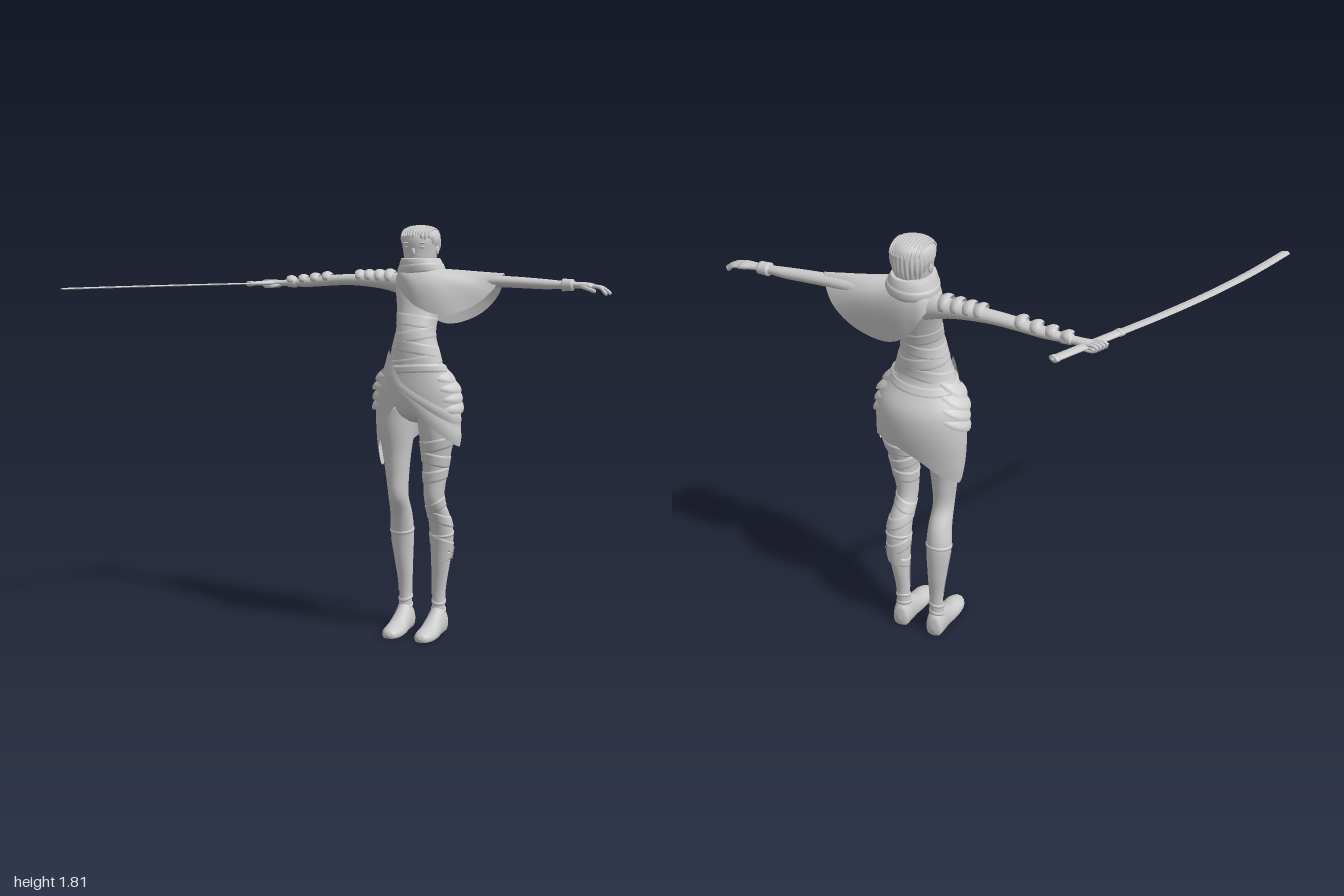
import * as THREE from 'three';

const PI = Math.PI, CX = 0.17;
const solid = new THREE.MeshStandardMaterial({ color: 0xcccccc });
const cloth = new THREE.MeshStandardMaterial({ color: 0xcccccc, side: THREE.DoubleSide });
const facet = new THREE.MeshStandardMaterial({ color: 0xcccccc, flatShading: true });

// Smooth interpolation of table rows [t, a, b, ...] at t
function sample(rows, t) {
  let i = 0;
  while (i < rows.length - 2 && t > rows[i + 1][0]) i++;
  const p = rows[i], q = rows[i + 1], o = rows[i - 1] || p, r = rows[i + 2] || q, h = q[0] - p[0];
  const s = THREE.MathUtils.clamp((t - p[0]) / h, 0, 1), s2 = s * s, s3 = s2 * s;
  return p.slice(1).map((a, k) => {
    const b = q[k + 1], m = (b - o[k + 1]) / (q[0] - o[0]), n = (r[k + 1] - a) / (r[0] - p[0]);
    return a * (2 * s3 - 3 * s2 + 1) + b * (3 * s2 - 2 * s3) + h * (m * (s3 - 2 * s2 + s) + n * (s3 - s2));
  });
}

// Point on a body whose rows are [t, minA, maxA, minB, maxB]; grow pushes it outward
function at(rows, axis, t, ang, grow = 0) {
  const [a0, a1, b0, b1] = sample(rows, t);
  const a = (a0 + a1) / 2 + ((a1 - a0) / 2 + grow) * Math.cos(ang);
  const b = (b0 + b1) / 2 + ((b1 - b0) / 2 + grow) * Math.sin(ang);
  return axis === 'y' ? [a, t, b] : axis === 'x' ? [t, b, a] : [b, Math.max(a, 0), t];
}

// Grid surface from f(u, v); closed joins u = 1 to u = 0
function sheet(f, nu, nv, closed = true) {
  const pos = [], idx = [], n = closed ? nu : nu + 1;
  for (let j = 0; j <= nv; j++) for (let i = 0; i < n; i++) pos.push(...f(i / nu, j / nv));
  for (let j = 0; j < nv; j++) for (let i = 0; i < nu; i++) {
    const a = j * n + i, b = j * n + (i + 1) % n;
    idx.push(a, a + n, b, b, a + n, b + n);
  }
  const g = new THREE.BufferGeometry();
  g.setAttribute('position', new THREE.Float32BufferAttribute(pos, 3));
  g.setIndex(idx);
  g.computeVertexNormals();
  return g;
}
const mirror = f => (u, v) => { const p = f(1 - u, v); return [2 * CX - p[0], p[1], p[2]]; };
// Whole body, both ends drawn in to a point at the middle
const body = (rows, axis) => (u, v) => {
  const t = THREE.MathUtils.lerp(rows[0][0], rows[rows.length - 1][0], v), a = u * 2 * PI;
  const p = at(rows, axis, t, a);
  if (v > 0 && v < 1) return p;
  const q = at(rows, axis, t, a + PI);
  return p.map((c, i) => (c + q[i]) / 2);
};
// Strap of height h around a body, tilted across x and z
const band = (rows, axis, t, h, tx = 0, tz = 0, grow = 0.006) => (u, v) => {
  const a = u * 2 * PI, edge = v === 0 || v === 1 ? -0.004 : grow;
  return at(rows, axis, t + (v - 0.5) * h + tx * Math.cos(a) + tz * Math.sin(a), a, edge);
};

const TORSO = [[0.95, 0.15, 0.19, -0.43, -0.37], [0.99, 0.05, 0.29, -0.49, -0.3], [1.05, 0, 0.345, -0.505, -0.275],
  [1.12, 0.01, 0.335, -0.495, -0.262], [1.2, 0.045, 0.305, -0.44, -0.262], [1.28, 0.07, 0.28, -0.435, -0.262],
  [1.36, 0.087, 0.26, -0.44, -0.272], [1.45, 0.077, 0.27, -0.465, -0.31], [1.52, 0.062, 0.285, -0.485, -0.335],
  [1.57, 0.055, 0.29, -0.49, -0.36], [1.61, 0.08, 0.265, -0.485, -0.37], [1.64, 0.125, 0.22, -0.465, -0.375],
  [1.7, 0.125, 0.22, -0.465, -0.375]];
const LEG = [[0.05, 0.055, 0.125, -0.5, -0.42], [0.12, 0.06, 0.12, -0.495, -0.435], [0.2, 0.058, 0.12, -0.495, -0.44],
  [0.32, 0.04, 0.122, -0.508, -0.425], [0.45, 0.022, 0.128, -0.508, -0.405], [0.54, 0.032, 0.128, -0.485, -0.375],
  [0.62, 0.042, 0.128, -0.44, -0.33], [0.72, 0.03, 0.132, -0.44, -0.322], [0.82, 0.014, 0.14, -0.455, -0.312],
  [0.93, -0.005, 0.155, -0.48, -0.292], [1.05, 0.005, 0.17, -0.485, -0.285]];
const FOOT = [[-0.513, 0.015, 0.05, 0.075, 0.105], [-0.503, -0.02, 0.09, 0.057, 0.123], [-0.46, -0.03, 0.125, 0.05, 0.13],
  [-0.41, -0.03, 0.096, 0.05, 0.133], [-0.35, -0.03, 0.06, 0.046, 0.138], [-0.29, -0.02, 0.045, 0.05, 0.136],
  [-0.256, -0.01, 0.032, 0.068, 0.12], [-0.246, 0.005, 0.02, 0.085, 0.105]];
const ARM = [[0.22, -0.485, -0.39, 1.49, 1.6], [0.28, -0.488, -0.4, 1.512, 1.605], [0.36, -0.485, -0.41, 1.533, 1.602],
  [0.5, -0.482, -0.417, 1.547, 1.598], [0.62, -0.48, -0.42, 1.545, 1.592], [0.72, -0.477, -0.425, 1.542, 1.585],
  [0.8, -0.47, -0.43, 1.545, 1.578], [0.86, -0.47, -0.428, 1.547, 1.575], [0.905, -0.482, -0.42, 1.545, 1.573],
  [0.93, -0.48, -0.422, 1.543, 1.567], [0.94, -0.452, -0.448, 1.553, 1.557]];
const SKIRT = [[0.74, 0.005, 0.34, -0.48, -0.305], [0.85, -0.015, 0.365, -0.5, -0.285], [1, -0.022, 0.366, -0.522, -0.266],
  [1.1, -0.01, 0.355, -0.512, -0.254], [1.2, 0.038, 0.313, -0.452, -0.254], [1.3, 0.068, 0.283, -0.443, -0.254],
  [1.4, 0.08, 0.265, -0.45, -0.28]];
const HEM = [[0, 0.88], [0.2, 0.96], [0.36, 1.05], [0.56, 1.05], [0.68, 0.98], [0.82, 0.86], [0.97, 0.76], [1.12, 0.77],
  [1.27, 0.81], [1.5, 0.91], [1.75, 0.94], [2, 0.88]];
const HEAD = [[1.6, 0.13, 0.21, -0.46, -0.36], [1.65, 0.107, 0.233, -0.485, -0.335], [1.7, 0.096, 0.244, -0.498, -0.33],
  [1.75, 0.092, 0.248, -0.5, -0.328], [1.785, 0.107, 0.233, -0.487, -0.345], [1.802, 0.14, 0.2, -0.45, -0.38],
  [1.807, 0.168, 0.172, -0.417, -0.413]];
const SCARF = [[1.57, 0.078, 0.27, -0.508, -0.335], [1.61, 0.07, 0.277, -0.518, -0.324], [1.65, 0.08, 0.264, -0.512, -0.32],
  [1.675, 0.09, 0.252, -0.5, -0.325]];

export function createModel() {
  const model = new THREE.Group();
  const add = (name, geo, mat = solid) => {
    const m = new THREE.Mesh(geo, mat);
    m.name = name;
    model.add(m);
    return m;
  };
  const ball = (name, x, y, z, sx, sy, sz) => {
    const m = add(name, new THREE.SphereGeometry(1, 16, 12));
    m.position.set(x, y, z);
    m.scale.set(sx, sy, sz);
  };
  const finger = (name, pts, r) => {
    const c = new THREE.CatmullRomCurve3(pts.map(p => new THREE.Vector3(...p)));
    add(name, new THREE.TubeGeometry(c, 10, r, 8));
    for (const p of [pts[0], pts[pts.length - 1]]) ball(name + 'End', ...p, r, r, r);
  };

  // Torso with wrapped cloth bands
  add('torso', sheet(body(TORSO, 'y'), 40, 60));
  [[1.23, 0.02, -0.01], [1.285, -0.015, 0.01], [1.34, 0.018, 0], [1.4, -0.01, 0.008]]
    .forEach(([y, tx, tz]) => add('waistWrap', sheet(band(TORSO, 'y', y, 0.06, tx, tz, 0.002), 40, 8), cloth));

  // Head, face and combed-back hair
  add('head', sheet(body(HEAD, 'y'), 32, 32));
  ball('nose', CX, 1.697, -0.329, 0.008, 0.017, 0.009);
  for (const s of [-1, 1]) {
    ball('eye', CX + s * 0.033, 1.717, -0.34, 0.013, 0.006, 0.006);
    ball('brow', CX + s * 0.034, 1.735, -0.337, 0.02, 0.004, 0.007);
    ball('ear', CX + s * 0.074, 1.705, -0.42, 0.008, 0.022, 0.014);
  }
  add('hair', sheet((u, v) => {
    const a = u * 2 * PI, low = 1.712 + 0.05 * Math.sin(a) + 0.009 * Math.cos(a * 9);
    const ridge = 0.003 * Math.cos(a * 28) * Math.sin(PI * Math.min(1, v + 0.25));
    const p = at(HEAD, 'y', THREE.MathUtils.lerp(low, 1.807, v), a, v === 1 ? 0 : 0.006 * Math.min(1, v * 4) + ridge);
    return [p[0], p[1] + 0.005 * v, p[2]];
  }, 168, 14), cloth);
  // Lengthwise locks over the crown
  for (let i = -5; i <= 5; i++) {
    const x = i * 0.0125, d = 1 - (i / 7) ** 2, pts = [];
    for (let k = 0; k <= 8; k++) {
      const a = PI * (0.06 + 0.9 * k / 8);
      pts.push(new THREE.Vector3(CX + x, 1.755 + 0.052 * Math.sin(a) * d ** 0.4, -0.414 + 0.09 * Math.cos(a) * d ** 0.5));
    }
    add('hairLock', new THREE.TubeGeometry(new THREE.CatmullRomCurve3(pts), 20, 0.0058, 6));
  }

  // Scarf with an overlapping fold
  add('scarf', sheet(body(SCARF, 'y'), 40, 20), cloth);
  add('scarfFold', sheet(band(SCARF, 'y', 1.62, 0.05, 0.01, 0.006, 0.003), 40, 6), cloth);

  // Cape draped over the left shoulder, hem pulled out to a corner on the arm
  const hem = new THREE.CatmullRomCurve3([[0.54, 1.607, -0.452], [0.495, 1.53, -0.412], [0.42, 1.465, -0.375], [0.31, 1.43, -0.32],
    [0.19, 1.47, -0.3], [0.095, 1.55, -0.34], [0.06, 1.595, -0.42], [0.09, 1.54, -0.496], [0.17, 1.43, -0.498],
    [0.27, 1.385, -0.488], [0.41, 1.425, -0.492], [0.5, 1.51, -0.488]].map(p => new THREE.Vector3(...p)), true);
  add('cape', sheet((u, v) => {
    const h = hem.getPoint(u), a = u * 2 * PI, w = 1 - v, bulge = Math.sin(PI * w);
    return [h.x + (0.175 + 0.09 * Math.cos(a) - h.x) * w,
      h.y + (1.625 - h.y) * w + 0.03 * bulge * Math.abs(Math.sin(a)),
      h.z + (-0.42 + 0.085 * Math.sin(a) - h.z) * w + 0.02 * bulge * Math.sin(a)];
  }, 72, 14), cloth);

  // Hip cloth with uneven hem, diagonal sash and belt
  add('hipCloth', sheet((u, v) => at(SKIRT, 'y', THREE.MathUtils.lerp(sample(HEM, u * 2)[0], 1.21, v), u * 2 * PI), 72, 18), cloth);
  for (const [y, tilt, h] of [[1.08, 0.18, 0.08], [1.1, 0.12, 0.05]])
    add('sash', sheet((u, v) => {
      const a = u * PI * 0.86;
      return at(SKIRT, 'y', y - tilt * Math.cos(a) + (v - 0.5) * h, a, 0.003 + 0.004 * Math.sin(PI * v));
    }, 36, 6, false), cloth);
  add('belt', sheet(band(SKIRT, 'y', 1.19, 0.04, 0.01, 0.01, 0.003), 48, 6), cloth);

  // Padded, pointed plates on both hips
  for (let i = 0; i < 4; i++) {
    const plate = (u, v) => {
      const s = u * 2 - 1, q = 1 - s * s, y = 1.19 - i * 0.045 + (v - 1) * 0.046 * (0.2 + 0.8 * q) - 0.025 * s;
      return at(SKIRT, 'y', y, PI - s * 0.75, -0.002 + q * (0.008 + 0.014 * Math.sin(PI * (1 - v) * 0.7) + (i < 2 ? 0.007 : 0)));
    };
    add('rightHipPlate', sheet(plate, 16, 6, false), cloth);
    add('leftHipPlate', sheet(mirror(plate), 16, 6, false), cloth);
  }

  // Legs and boots
  for (const [side, m] of [['right', f => f], ['left', mirror]]) {
    add(side + 'Leg', sheet(m(body(LEG, 'y')), 32, 60));
    add(side + 'Boot', sheet(m(body(FOOT, 'z')), 28, 60));
    add(side + 'BootCuff', sheet(m(band(LEG, 'y', 0.455, 0.02, 0, -0.01, 0.003)), 32, 4), cloth);
    for (const y of [0.1, 0.14]) add(side + 'AnkleStrap', sheet(m(band(LEG, 'y', y, 0.022, 0.004, -0.01, 0.003)), 32, 4), cloth);
    // Shin guard
    add(side + 'ShinGuard', sheet(m((u, v) => at(LEG, 'y', 0.17 + 0.25 * v, PI * (0.2 + 0.6 * u), 0.004)), 14, 12, false), cloth);
  }
  // Wraps on the left leg
  [[0.73, 0.06, -0.01], [0.8, 0.06, 0.012], [0.87, 0.06, -0.015], [0.59, 0.05, -0.02],
    [0.53, 0.06, 0.02], [0.41, 0.06, 0.02], [0.34, 0.05, -0.02]]
    .forEach(([y, h, t]) => add('leftLegWrap', sheet(mirror(band(LEG, 'y', y, h, t, t * 0.5, 0.004)), 32, 8), cloth));
  add('calfPlate', sheet(mirror((u, v) => at(LEG, 'y', 0.33 + 0.06 * v, PI * (1.1 + 0.6 * u), 0.009)), 14, 4, false), cloth);

  // Arms; the sword arm dips slightly towards the wrist
  const dip = f => (u, v) => {
    const p = mirror(f)(u, v);
    return [p[0], p[1] - 0.008 * THREE.MathUtils.smoothstep(-p[0], 0.2, 0.5), p[2]];
  };
  add('leftArm', sheet(body(ARM, 'x'), 28, 50));
  add('rightArm', sheet(dip(body(ARM, 'x')), 28, 50));
  add('leftBracer', sheet(band(ARM, 'x', 0.818, 0.055, 0, 0, 0.01), 28, 10), cloth);
  add('rightWristWrap', sheet(dip(band(ARM, 'x', 0.81, 0.05, 0, 0, 0.004)), 28, 8), cloth);

  // Separate rounded scales along the sword arm
  for (const x of [0.32, 0.37, 0.42, 0.465, 0.63, 0.69, 0.75, 0.81])
    add('armScale', sheet(dip((u, v) => {
      const s = u * 2 - 1, q = 1 - s * s;
      return at(ARM, 'x', x + 0.045 * (v - 0.5) * (0.4 + 0.6 * q), PI * (0.5 + 0.48 * s), (0.006 + 0.014 * Math.sin(PI * v * 0.75)) * q ** 0.4);
    }), 16, 6, false), cloth);

  // Open left hand
  for (let i = 0; i < 4; i++) {
    const z = -0.474 + i * 0.015, l = [0.045, 0.062, 0.068, 0.055][i];
    finger('leftFinger', [[0.915, 1.558, z], [0.93 + l * 0.5, 1.553, z - 0.002], [0.93 + l, 1.536 - i * 0.003, z]], 0.0072);
  }
  finger('leftThumb', [[0.875, 1.557, -0.435], [0.905, 1.55, -0.414], [0.94, 1.538, -0.411]], 0.008);

  // Curved sword held flat
  const path = new THREE.CatmullRomCurve3([[-0.478, -0.612], [-0.595, -0.375], [-0.715, -0.13], [-0.83, 0.135], [-0.915, 0.37],
    [-0.985, 0.605]].map(([x, z]) => new THREE.Vector3(x, 1.552, z)));
  const sweep = (t0, t1, w, h) => (u, v) => {
    const t = t0 + (t1 - t0) * v, p = path.getPointAt(t), d = path.getTangentAt(t), a = u * 2 * PI;
    const k = v === 0 || v === 1 ? 0 : 1, c = Math.cos(a) * w * k;
    return [p.x - d.z * c, p.y + Math.sin(a) * h * k, p.z + d.x * c];
  };
  add('blade', sheet(sweep(0.2, 1, 0.02, 0.004), 4, 70), facet);
  add('hilt', sheet(sweep(0, 0.25, 0.02, 0.01), 16, 40));
  for (const t of [0.003, 0.235]) add('hiltCollar', sheet(sweep(t, t + 0.018, 0.022, 0.012), 16, 8));

  // Gripping fingers around the hilt
  for (let i = 0; i < 4; i++) {
    const z = -0.474 + i * 0.015, x = -0.555 - i * 0.007;
    finger('rightFinger', [[x + 0.012, 1.556, z], [x - 0.025, 1.561, z], [x - 0.042, 1.55, z], [x - 0.022, 1.539, z], [x + 0.005, 1.539, z]], 0.007);
  }
  finger('rightThumb', [[-0.53, 1.545, -0.435], [-0.555, 1.538, -0.415], [-0.595, 1.538, -0.42]], 0.0075);
  return model;
}
